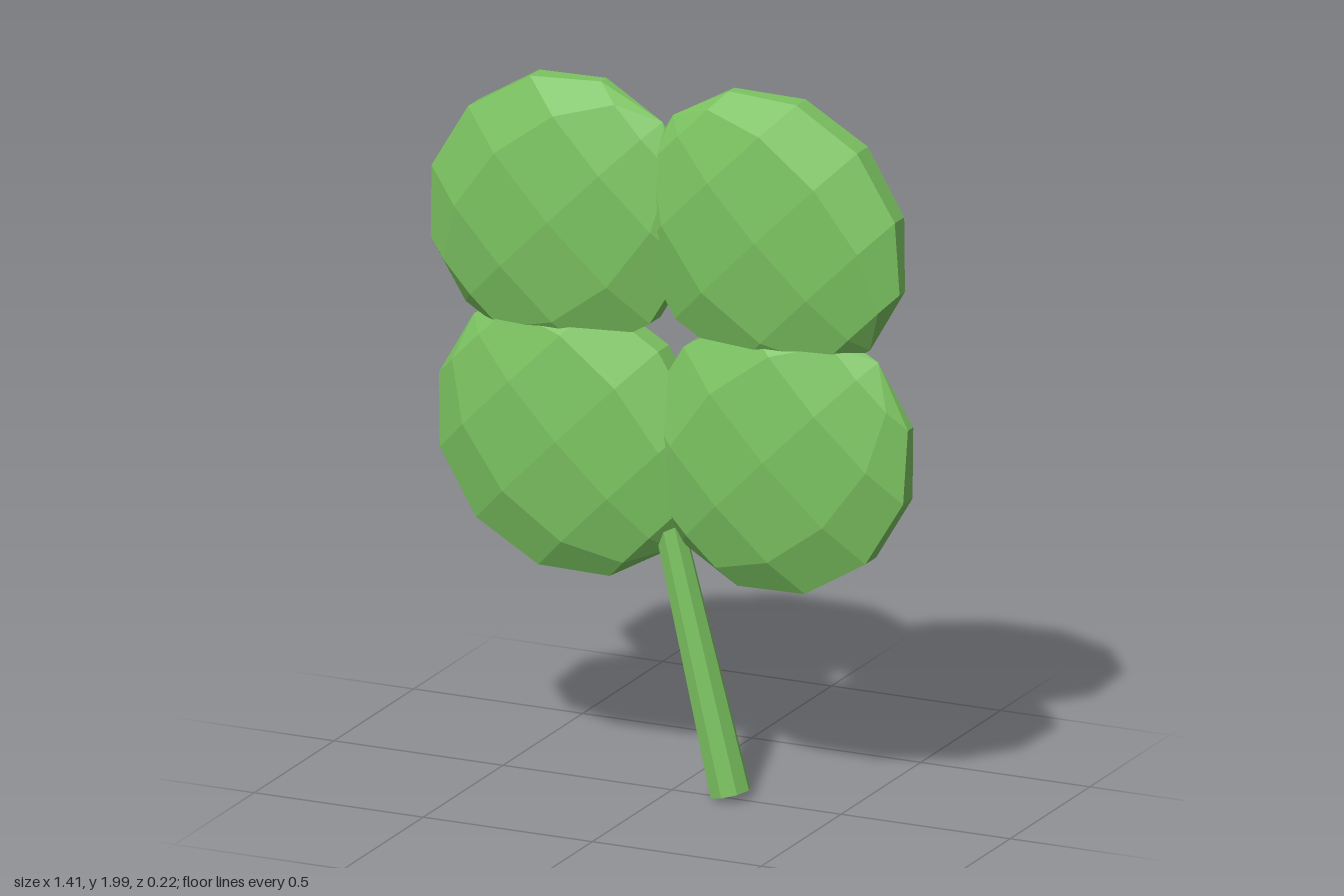
import * as THREE from 'three';

export function createModel() {
  const group = new THREE.Group();
  group.name = 'fourLeafClover';
  const green = new THREE.MeshStandardMaterial({ color: 0x7cc461, flatShading: true });
  green.name = 'clover green';

  // Leaf: flattened low-poly sphere, poles at its two sides, flat facets round the rim
  const leafGeometry = new THREE.SphereGeometry(1, 10, 6, Math.PI / 10);
  leafGeometry.scale(0.4, 0.412, 0.11);
  const names = ['upperLeftLeaf', 'upperRightLeaf', 'lowerRightLeaf', 'lowerLeftLeaf'];
  names.forEach((name, i) => {
    const axis = Math.PI / 4 + i * Math.PI / 2;
    const around = axis + 0.04; // leaves sit slightly turned about the middle
    const leaf = new THREE.Mesh(leafGeometry, green);
    leaf.name = name;
    leaf.rotation.z = axis;
    leaf.position.set(0.434 * Math.cos(around), 1.296 + 0.434 * Math.sin(around), 0);
    group.add(leaf);
  });

  // Stem: tapered eight-sided rod leaning towards the model's left
  const bottom = new THREE.Vector3(0.169, 0.022, -0.007);
  const top = new THREE.Vector3(-0.033, 0.85, -0.002);
  const along = top.clone().sub(bottom);
  const stem = new THREE.Mesh(
    new THREE.CylinderGeometry(0.04, 0.057, along.length(), 8), green);
  stem.name = 'stem';
  stem.position.copy(bottom).add(top).multiplyScalar(0.5);
  stem.quaternion.setFromUnitVectors(new THREE.Vector3(0, 1, 0), along.normalize());
  group.add(stem);

  return group;
}
